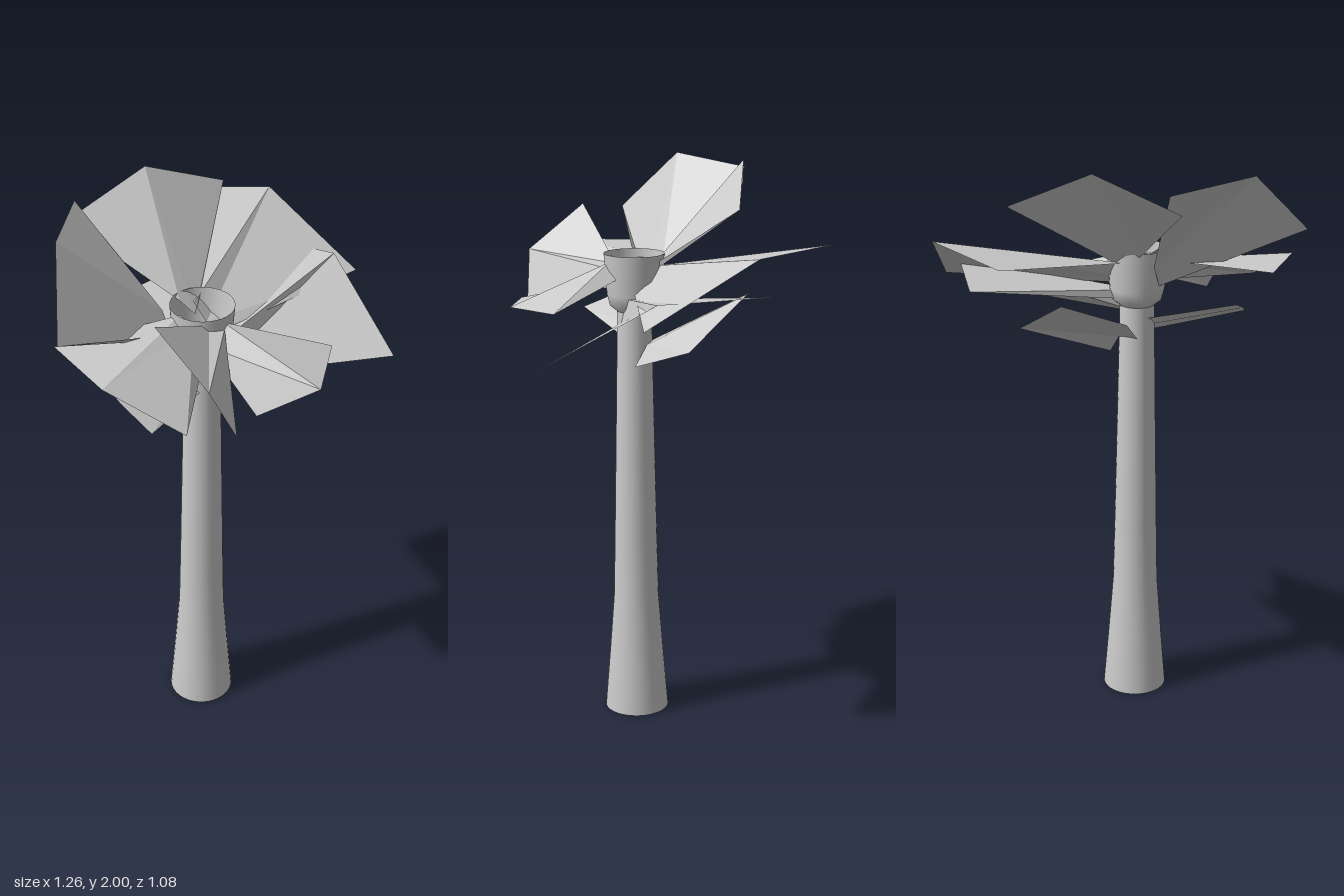
import * as THREE from 'three';

const CX = -0.06, CZ = 0.125; // trunk axis

export function createModel() {
  const root = new THREE.Group();
  const smooth = new THREE.MeshStandardMaterial({ color: 0xcccccc, side: THREE.DoubleSide });
  const faceted = new THREE.MeshStandardMaterial({ color: 0xcccccc, side: THREE.DoubleSide, flatShading: true });

  // Open surface of revolution around the trunk axis
  function turned(name, profile) {
    const points = profile.map(([r, y]) => new THREE.Vector2(r, y));
    const mesh = new THREE.Mesh(new THREE.LatheGeometry(points, 32), smooth);
    mesh.position.set(CX, 0, CZ);
    mesh.name = name;
    root.add(mesh);
  }

  turned('trunk', [[0.115, 0], [0.097, 0.22], [0.081, 0.43], [0.076, 0.65], [0.067, 1.1], [0.06, 1.48]]);
  turned('crownCup', [[0.06, 1.48], [0.085, 1.5], [0.095, 1.54], [0.105, 1.68]]);

  // Leaf folded along its middle: three root points and three tip points (side, middle, side)
  function leaf(name, base, tip) {
    const geometry = new THREE.BufferGeometry();
    geometry.setAttribute('position', new THREE.Float32BufferAttribute([...base, ...tip].flat(), 3));
    const index = [];
    for (let i = 0; i < 2; i++) index.push(i, i + 1, i + 4, i, i + 4, i + 3);
    geometry.setIndex(index);
    const flat = geometry.toNonIndexed();
    flat.computeVertexNormals();
    const mesh = new THREE.Mesh(flat, faceted);
    mesh.name = name;
    root.add(mesh);
  }

  // Upper leaves
  leaf('backLeaf',
    [[-0.09, 1.66, 0.04], [-0.05, 1.61, 0.07], [-0.02, 1.65, 0.05]],
    [[-0.33, 1.89, -0.25], [-0.03, 2.0, -0.245], [0.27, 1.87, -0.23]]);
  leaf('backRightLeaf',
    [[-0.15, 1.64, 0.03], [-0.15, 1.56, 0.09], [-0.16, 1.6, 0.12]],
    [[-0.29, 1.95, -0.255], [-0.5, 1.98, -0.01], [-0.63, 1.77, 0.2]]);
  leaf('frontRightLeaf',
    [[-0.13, 1.65, 0.1], [-0.1, 1.62, 0.14], [-0.09, 1.55, 0.19]],
    [[-0.555, 1.655, 0.04], [-0.555, 1.655, 0.32], [-0.375, 1.52, 0.5]]);
  leaf('frontRaisedLeaf',
    [[-0.08, 1.64, 0.19], [-0.04, 1.63, 0.22], [-0.05, 1.56, 0.24]],
    [[-0.37, 1.81, 0.325], [-0.305, 1.655, 0.515], [-0.2, 1.45, 0.515]]);
  leaf('frontLeaf',
    [[-0.1, 1.58, 0.2], [-0.04, 1.65, 0.21], [0.02, 1.6, 0.18]],
    [[-0.135, 1.51, 0.525], [0.105, 1.52, 0.535], [0.28, 1.53, 0.37]]);
  leaf('backLeftLeaf',
    [[-0.04, 1.64, 0.05], [-0.02, 1.58, 0.09], [0.02, 1.55, 0.12]],
    [[0.165, 1.745, -0.54], [0.51, 1.75, -0.29], [0.63, 1.545, 0.06]]);

  // Lower leaves
  leaf('leftLeaf',
    [[-0.06, 1.43, 0.18], [-0.06, 1.52, 0.16], [-0.02, 1.5, 0.1]],
    [[0.535, 1.405, 0.39], [0.56, 1.615, 0.02], [0.36, 1.605, -0.335]]);
  leaf('lowBackLeaf',
    [[-0.08, 1.37, 0.07], [-0.01, 1.37, 0.08], [0.035, 1.3, 0.12]],
    [[-0.16, 1.53, -0.28], [0.07, 1.565, -0.265], [0.3, 1.41, -0.07]]);
  leaf('lowRightLeaf',
    [[-0.1, 1.44, 0.09], [-0.11, 1.41, 0.13], [-0.1, 1.38, 0.17]],
    [[-0.43, 1.53, 0.06], [-0.42, 1.48, 0.2], [-0.39, 1.43, 0.33]]);

  return root;
}
